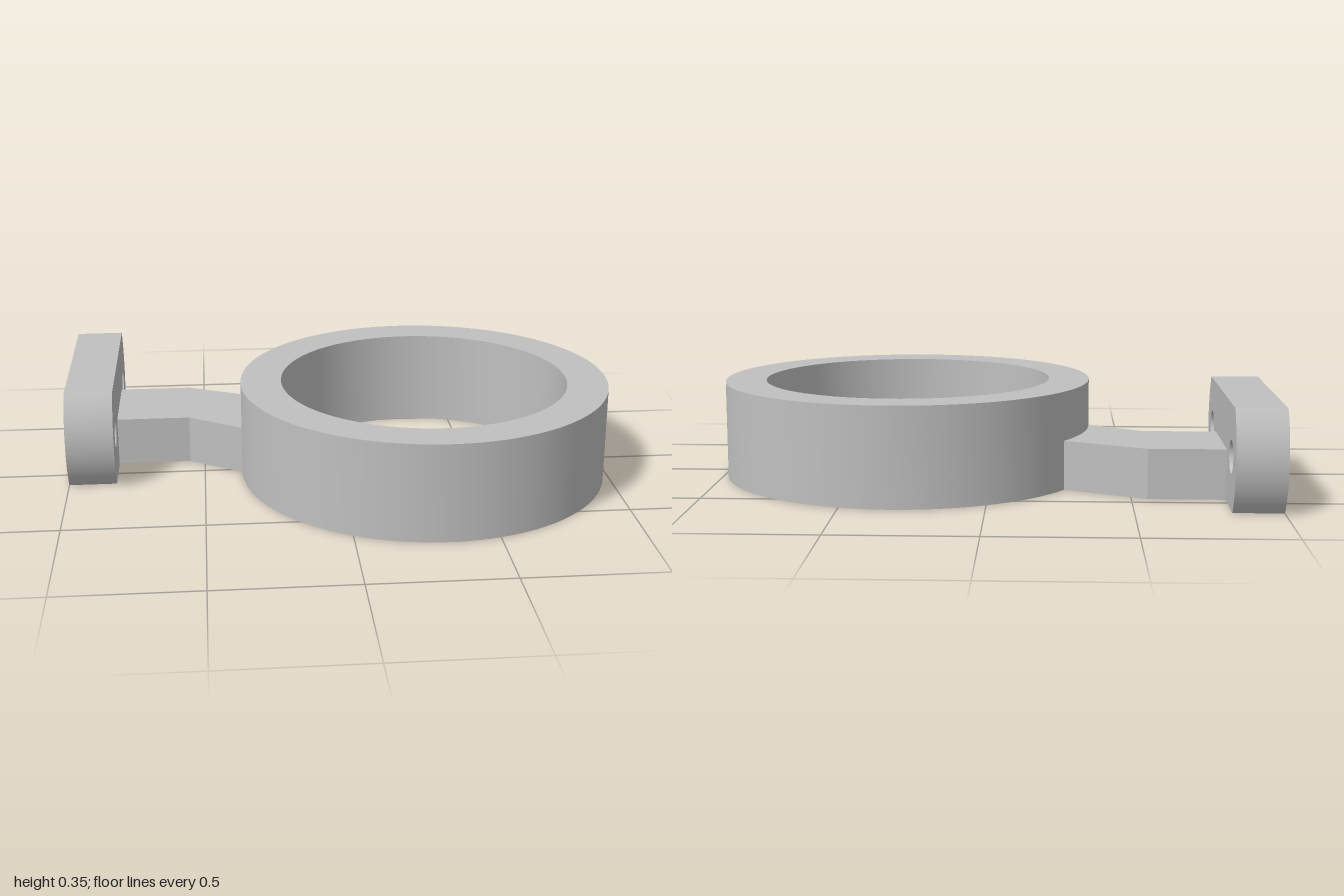
import * as THREE from 'three';
import { toCreasedNormals } from 'three/addons/utils/BufferGeometryUtils.js';

const HEIGHT = 0.355;

function extrude(shape, depth, steps = 1) {
  return new THREE.ExtrudeGeometry(shape, { depth, steps, bevelEnabled: false, curveSegments: 64 });
}

function circleHole(x, y, r) {
  return new THREE.Path().absarc(x, y, r, 0, Math.PI * 2, true);
}

export function createModel() {
  const model = new THREE.Group();
  const grey = new THREE.MeshStandardMaterial({ color: 0xc0c0c0 });
  grey.name = 'plain grey';

  function add(name, geometry) {
    const mesh = new THREE.Mesh(toCreasedNormals(geometry, 0.2), grey);
    mesh.name = name;
    model.add(mesh);
  }

  // Ring: upright hollow band
  const ringShape = new THREE.Shape().absarc(0, 0, 0.68, 0, Math.PI * 2);
  ringShape.holes.push(circleHole(0, 0, 0.53));
  add('ring', extrude(ringShape, HEIGHT).rotateX(-Math.PI / 2).translate(0.32, 0, 0.032));

  // Arm: half-height bent strip, flush with the bottom and sunk into the ring wall
  const armOutline = [
    [-0.83, -0.45], [-0.555, -0.45], [-0.2, -0.28],
    [-0.31, 0.06], [-0.555, -0.102], [-0.83, -0.102],
  ].map(([x, z]) => new THREE.Vector2(x, -z));
  add('arm', extrude(new THREE.Shape(armOutline), 0.178).rotateX(-Math.PI / 2));

  // Mounting plate: rounded ends, two countersunk screw holes
  const half = HEIGHT / 2, endRadius = 0.27, endCentre = 0.17, thickness = 0.174;
  const sweep = Math.asin(half / endRadius);
  const plateShape = new THREE.Shape();
  plateShape.absarc(endCentre, half, endRadius, -sweep, sweep);
  plateShape.absarc(-endCentre, half, endRadius, Math.PI - sweep, Math.PI + sweep);
  plateShape.closePath();
  const holeOffset = 0.3, wide = 0.057, narrow = 0.037;
  for (const side of [-1, 1]) plateShape.holes.push(circleHole(side * holeOffset, half, wide));
  const plate = extrude(plateShape, thickness, 2);

  // Narrow the outer half of each hole, leaving a cone towards the arm side
  const p = plate.attributes.position;
  for (let i = 0; i < p.count; i++) {
    const centre = Math.sign(p.getX(i)) * holeOffset;
    const dx = p.getX(i) - centre, dy = p.getY(i) - half;
    if (p.getZ(i) < thickness * 0.6 && Math.hypot(dx, dy) < wide * 1.05) {
      p.setXY(i, centre + dx * narrow / wide, half + dy * narrow / wide);
    }
  }
  add('mountingPlate', plate.rotateY(Math.PI / 2).translate(-1, 0, -0.275));

  return model;
}
